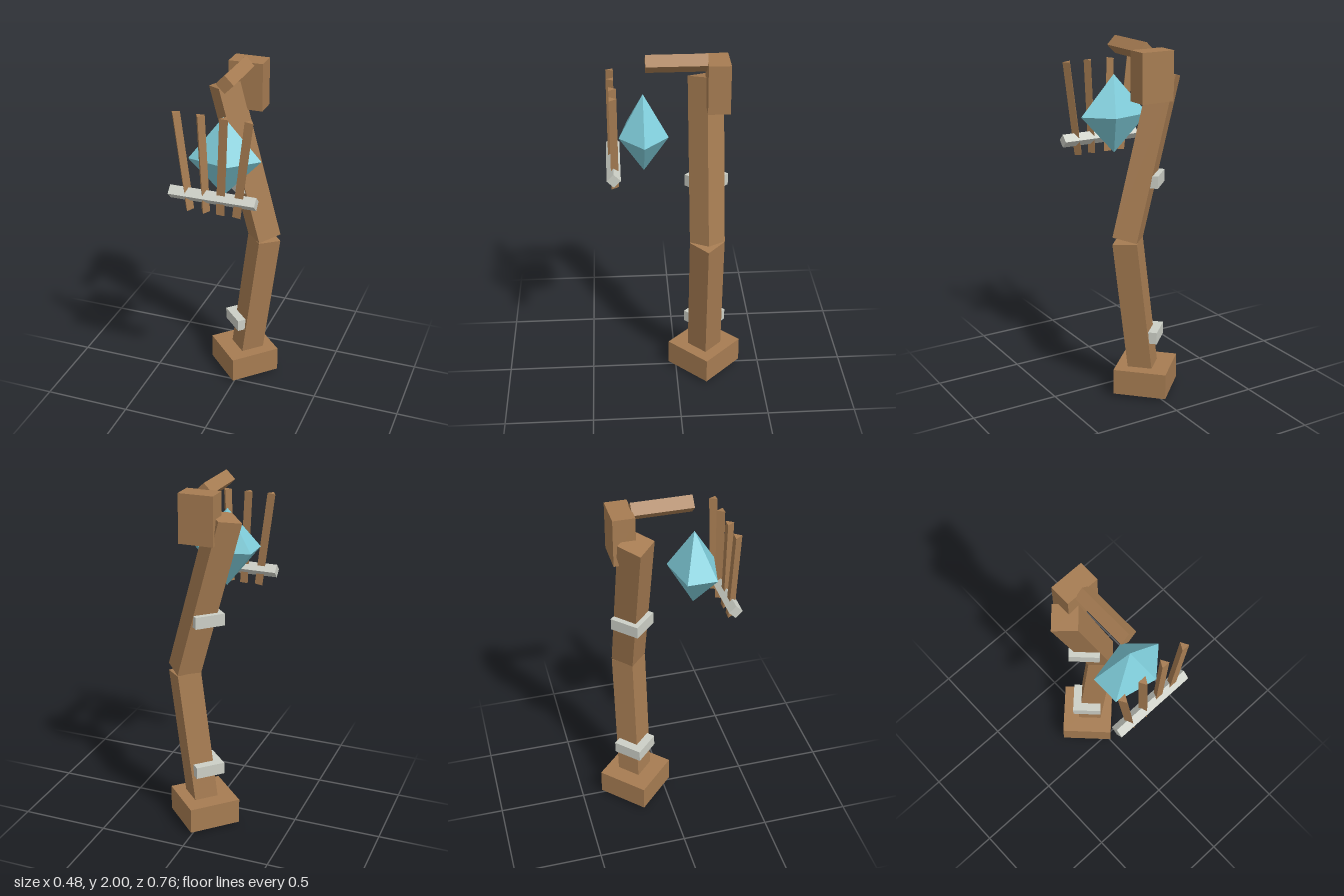
import * as THREE from 'three';

export function createModel() {
  const group = new THREE.Group();
  const mat = (color, side = THREE.FrontSide) => new THREE.MeshStandardMaterial({ color, side, flatShading: true });
  const wood = mat(0xa67c52);
  const metal = mat(0xcccfc6);
  const crystalMat = mat(0x7ecbd8);

  const add = (name, geometry, material) => {
    const mesh = new THREE.Mesh(geometry, material);
    mesh.name = name;
    group.add(mesh);
    return mesh;
  };

  // Prism with a few sides, running from one point to another
  const prism = (name, from, to, radius, sides, material, turn = 0) => {
    const a = new THREE.Vector3(...from);
    const b = new THREE.Vector3(...to);
    const dir = b.clone().sub(a);
    const geometry = new THREE.CylinderGeometry(radius, radius, dir.length(), sides, 1, false, turn);
    const mesh = add(name, geometry, material);
    mesh.position.copy(a).add(b).multiplyScalar(0.5);
    mesh.quaternion.setFromUnitVectors(new THREE.Vector3(0, 1, 0), dir.normalize());
    return mesh;
  };

  // Foot and bent shaft, all with diamond cross-sections
  const Z = -0.17;
  prism('foot', [0, 0.018, Z], [0, 0.165, Z], 0.213, 4, wood);
  prism('lowerShaft', [0, 0.013, Z], [0.118, 0.925, Z], 0.098, 4, wood);
  prism('upperShaft', [0.12, 0.93, Z], [-0.12, 1.83, Z], 0.098, 4, wood);

  // Metal bands around the shaft
  for (const y of [0.353, 1.262]) {
    prism('band', [0, y - 0.034, Z], [0, y + 0.034, Z], 0.12, 4, metal);
  }

  // Head block and the arm reaching forward from it
  const head = add('headBlock', new THREE.BoxGeometry(0.195, 0.27, 0.12), wood);
  head.position.set(0, 1.83, -0.225);
  prism('arm', [0, 1.95, Z], [0, 1.95, 0.16], 0.05, 4, wood);

  // Floating crystal: five-sided double pyramid, flattened in depth
  const profile = [[0, -0.225], [0.21, 0], [0, 0.225]].map(([r, y]) => new THREE.Vector2(r, y));
  const crystal = add('crystal', new THREE.LatheGeometry(profile, 5, Math.PI / 2), crystalMat);
  crystal.position.set(0, 1.556, 0.175);
  crystal.scale.z = 0.67;

  // Rail with four fanned three-sided slats
  const railZ = 0.342;
  prism('rail', [-0.24, 1.392, railZ], [0.24, 1.392, railZ], 0.038, 4, metal);
  for (const x of [-0.135, -0.045, 0.045, 0.135]) {
    prism('slat', [x, 1.302, railZ], [x * 1.5, 1.843, railZ], 0.027, 3, wood, x > 0 ? Math.PI : 0);
  }

  return group;
}
